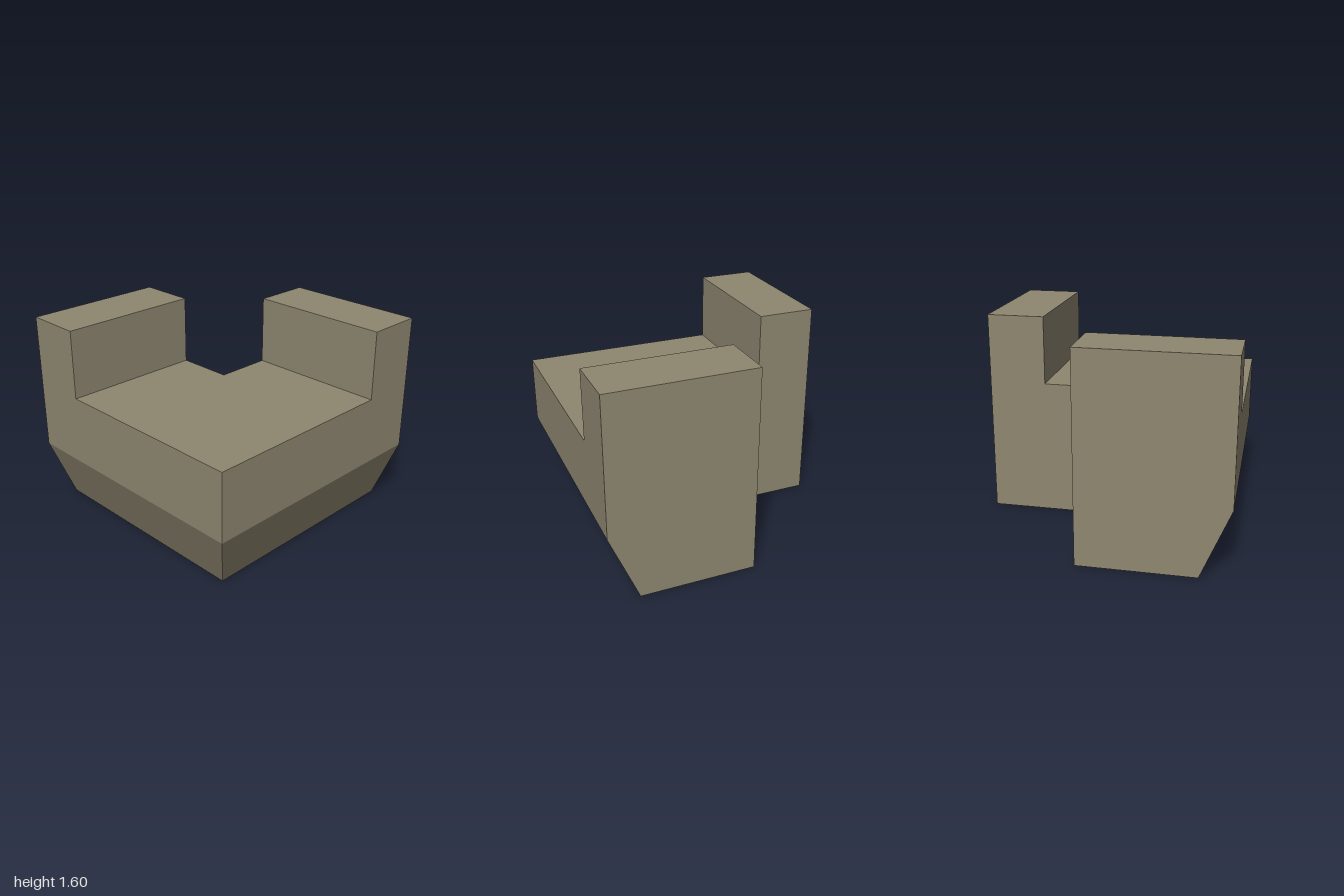
import * as THREE from 'three';

// Key levels: arm corner, block inner edge, base edge, chamfer top, deck, block top
const C = -0.111, B = -0.556, E = 0.778, Y1 = 0.533, Y2 = 1.067, Y3 = 1.6;

// Convex polygons of one half, counter-clockwise from outside; the other half swaps x and z
const parts = {
  outerWall: [
    [[-1, Y1, 1], [1, Y1, 1], [1, Y2, 1], [-1, Y2, 1]],
    [[-1, Y2, 1], [B, Y2, 1], [B, Y3, 1], [-1, Y3, 1]],
  ],
  slopedBase: [[[-1, 0, E], [E, 0, E], [1, Y1, 1], [-1, Y1, 1]]],
  armEnd: [[[-1, 0, C], [-1, 0, E], [-1, Y1, 1], [-1, Y3, 1], [-1, Y3, C]]],
  innerCornerWall: [
    [[C, 0, C], [-1, 0, C], [-1, Y2, C], [C, Y2, C]],
    [[B, Y2, C], [-1, Y2, C], [-1, Y3, C], [B, Y3, C]],
  ],
  raisedBlock: [
    [[-1, Y3, 1], [B, Y3, 1], [B, Y3, C], [-1, Y3, C]],
    [[B, Y2, 1], [B, Y2, C], [B, Y3, C], [B, Y3, 1]],
  ],
  // The corner square of the underside stays open
  armUnderside: [[[-1, 0, C], [C, 0, C], [C, 0, E], [-1, 0, E]]],
  deck: [[[B, Y2, 1], [1, Y2, 1], [C, Y2, C], [B, Y2, C]]],
};

// Fan-triangulate polygons into a flat-shaded geometry
function facesGeometry(polygons) {
  const pos = [];
  for (const p of polygons)
    for (let i = 1; i < p.length - 1; i++) pos.push(...p[0], ...p[i], ...p[i + 1]);
  const geo = new THREE.BufferGeometry();
  geo.setAttribute('position', new THREE.Float32BufferAttribute(pos, 3));
  geo.computeVertexNormals();
  return geo;
}

const swapXZ = (poly) => poly.map(([x, y, z]) => [z, y, x]).reverse();

export function createModel() {
  const stone = new THREE.MeshStandardMaterial({ color: 0x8e8770, side: THREE.DoubleSide });
  stone.name = 'olive stone';
  const model = new THREE.Group();
  model.name = 'cornerBlock';
  for (const half of ['front', 'side']) {
    const group = new THREE.Group();
    group.name = half + 'Half';
    for (const [name, polys] of Object.entries(parts)) {
      const mesh = new THREE.Mesh(facesGeometry(half === 'front' ? polys : polys.map(swapXZ)), stone);
      mesh.name = name;
      group.add(mesh);
    }
    model.add(group);
  }
  return model;
}
